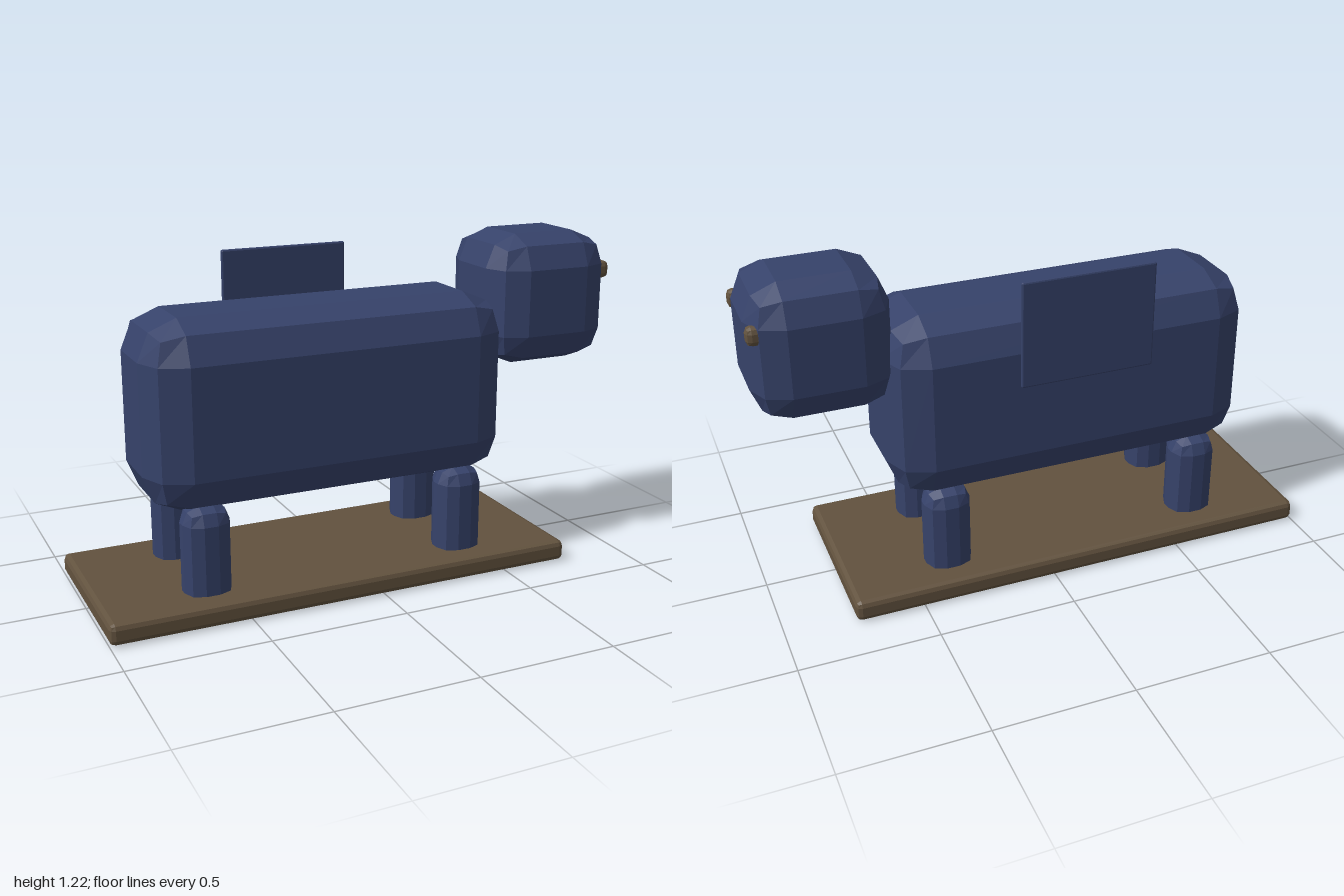
import * as THREE from 'three';
import { RoundedBoxGeometry } from 'three/addons/geometries/RoundedBoxGeometry.js';

export function createModel() {
  const model = new THREE.Group();
  model.name = 'animalOnBase';

  const navy = new THREE.MeshStandardMaterial({ color: 0x36426a });
  navy.name = 'navy';
  const brown = new THREE.MeshStandardMaterial({ color: 0x62523e });
  brown.name = 'brown';

  // Faceted box with softened edges, given by its extents on each axis
  function block(name, material, [x0, x1], [y0, y1], [z0, z1], radius) {
    const geometry = new RoundedBoxGeometry(x1 - x0, y1 - y0, z1 - z0, 1, radius);
    geometry.computeVertexNormals(); // unshared corners give flat facets
    const mesh = new THREE.Mesh(geometry, material);
    mesh.name = name;
    mesh.position.set((x0 + x1) / 2, (y0 + y1) / 2, (z0 + z1) / 2);
    model.add(mesh);
  }

  // Base board
  block('base', brown, [-1, 0.75], [0.003, 0.08], [-0.339, 0.339], 0.02);

  // Body and head
  block('body', navy, [-0.805, 0.555], [0.347, 1.025], [-0.242, 0.242], 0.14);
  block('head', navy, [0.512, 0.996], [0.734, 1.219], [-0.218, 0.218], 0.12);

  // Legs (their feet reach through the base) and eyes, mirrored across z
  for (const [side, s] of [['Left', -1], ['Right', 1]]) {
    const span = (a, b) => (s > 0 ? [a, b] : [-b, -a]);
    block('backLeg' + side, navy, [-0.7, -0.53], [0, 0.39], span(0.1, 0.252), 0.06);
    block('frontLeg' + side, navy, [0.28, 0.45], [0, 0.39], span(0.1, 0.252), 0.06);
    block('eye' + side, brown, [0.94, 1], [1.04, 1.106], span(0.13, 0.182), 0.02);
  }

  // Thin panel standing off the far side
  block('sidePanel', navy, [-0.37, 0.12], [0.783, 1.17], [-0.298, -0.282], 0.006);

  return model;
}
